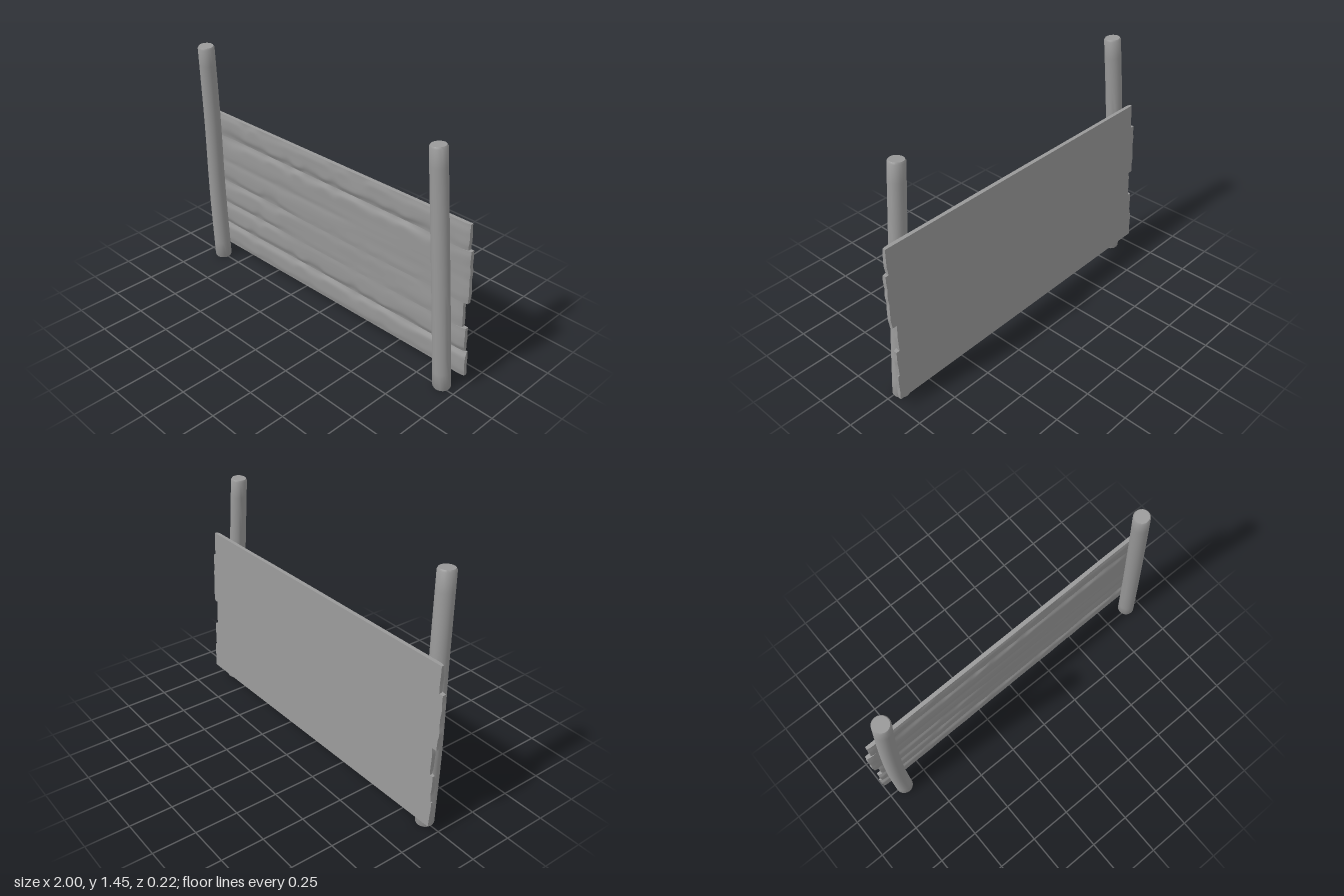
import * as THREE from 'three';
import { mergeVertices, toCreasedNormals } from 'three/addons/utils/BufferGeometryUtils.js';

const wood = new THREE.MeshStandardMaterial({ color: 0x999999 });
wood.name = 'grey wood';

// Smooth repeatable 2D value noise, 0..1
const hash = (i, j) => {
  const s = Math.sin(i * 127.1 + j * 311.7) * 43758.5453;
  return s - Math.floor(s);
};
function noise(x, y) {
  const i = Math.floor(x), j = Math.floor(y);
  const u = THREE.MathUtils.smoothstep(x - i, 0, 1), v = THREE.MathUtils.smoothstep(y - j, 0, 1);
  const lerp = THREE.MathUtils.lerp;
  return lerp(lerp(hash(i, j), hash(i + 1, j), u), lerp(hash(i, j + 1), hash(i + 1, j + 1), u), v);
}

// The sign leans back at the foot and turns slightly about the vertical
const backZ = (x, y) => -0.07 + 0.041 * (y - 1) - 0.0175 * (x - 1);
const THICK = 0.031;

// Joints between planks: height, depth, and the stretch of x where they are open
const joints = [
  { y: 0.07, depth: 0.007, from: -2, to: 2 },
  { y: 0.225, depth: 0.014, from: -2, to: 2 },
  { y: 0.38, depth: 0.010, from: -2, to: -0.3 },
  { y: 0.54, depth: 0.011, from: -2, to: -0.25 },
  { y: 0.69, depth: 0.003, from: -0.9, to: 0.2 },
  { y: 0.855, depth: 0.014, from: -0.85, to: 0.8 },
  { y: 1.003, depth: 0.007, from: -2, to: 2 },
];

// How far the front face is worn down at a point
function wear(x, y) {
  let d = 0.003 * noise(x * 3 + 9, y * 16);
  for (const j of joints) {
    const open = THREE.MathUtils.smoothstep(x, j.from - 0.1, j.from + 0.1)
      * (1 - THREE.MathUtils.smoothstep(x, j.to - 0.2, j.to + 0.1));
    const width = 0.016 + 0.03 * noise(x * 14, j.y * 50) ** 2;
    const strength = 0.25 + 0.75 * open;
    d += j.depth * strength * Math.exp(-(((y - j.y) / width) ** 2));
  }
  return d;
}

// One plank: a box whose front face is worn and whose ends are a little ragged
function plank(name, y0, y1, leftEdge, rightEdge) {
  const g = new THREE.BoxGeometry(1, 1, 1, 110, Math.round((y1 - y0) / 0.011), 2);
  const p = g.attributes.position;
  for (let i = 0; i < p.count; i++) {
    const u = p.getX(i) + 0.5, v = p.getY(i) + 0.5, w = p.getZ(i) + 0.5;
    const y = THREE.MathUtils.lerp(y0, y1, v);
    const rag = (s) => 0.007 * noise(y * 22, s);
    const x = THREE.MathUtils.lerp(leftEdge + rag(3), rightEdge - rag(8), u);
    const endDrop = 0.006 * Math.exp(-Math.min(u, 1 - u) / 0.006);
    const t = THICK - wear(x, y) - endDrop;
    p.setXYZ(i, x, y, backZ(x, y) + w * t);
  }
  g.computeVertexNormals();
  const mesh = new THREE.Mesh(g, wood);
  mesh.name = name;
  return mesh;
}

// A round post: a lathed pole moved along a gently bent centre line
function post(name, centre, height, rBottom, rTop) {
  const profile = [new THREE.Vector2(0, 0), new THREE.Vector2(rBottom - 0.004, 0)];
  const rows = 14;
  for (let i = 0; i <= rows; i++) {
    const t = i / rows;
    profile.push(new THREE.Vector2(THREE.MathUtils.lerp(rBottom, rTop, t),
      THREE.MathUtils.lerp(0.008, height - 0.01, t)));
  }
  profile.push(new THREE.Vector2(rTop - 0.006, height), new THREE.Vector2(0, height));
  let g = new THREE.LatheGeometry(profile, 24);
  const curve = new THREE.CatmullRomCurve3(centre.map(([x, y, z]) => new THREE.Vector3(x, y, z)));
  const p = g.attributes.position;
  for (let i = 0; i < p.count; i++) {
    const t = p.getY(i) / height;
    const c = curve.getPoint(t), d = curve.getTangent(t);
    // cut the upper end square to the lean
    const tilt = -(p.getX(i) * d.x + p.getZ(i) * d.z) * t;
    p.setXYZ(i, p.getX(i) + c.x, p.getY(i) + tilt, p.getZ(i) + c.z);
  }
  g.deleteAttribute('uv');
  g.deleteAttribute('normal');
  g = toCreasedNormals(mergeVertices(g), 0.7);
  const mesh = new THREE.Mesh(g, wood);
  mesh.name = name;
  return mesh;
}

export function createModel() {
  const model = new THREE.Group();
  model.name = 'woodenSign';

  // Board of five planks with staggered ends
  const board = new THREE.Group();
  board.name = 'board';
  const rows = [
    [0.07, 0.225, -1.0, 1.0],
    [0.225, 0.38, -0.993, 0.99],
    [0.38, 0.54, -0.972, 0.968],
    [0.54, 0.855, -1.0, 0.995],
    [0.855, 1.003, -0.975, 0.977],
  ];
  rows.forEach((r, i) => board.add(plank(`plank${i + 1}`, ...r)));
  model.add(board);

  // Posts in front of the board
  model.add(
    post('rightPost', [[-0.896, 0, 0.0], [-0.9, 0.48, 0.014], [-0.885, 0.96, 0.03], [-0.863, 1.443, 0.06]],
      1.443, 0.051, 0.048),
    post('leftPost', [[0.914, 0, -0.012], [0.878, 0.46, -0.004], [0.838, 0.93, 0.004], [0.797, 1.387, 0.011]],
      1.387, 0.05, 0.046),
  );
  return model;
}
